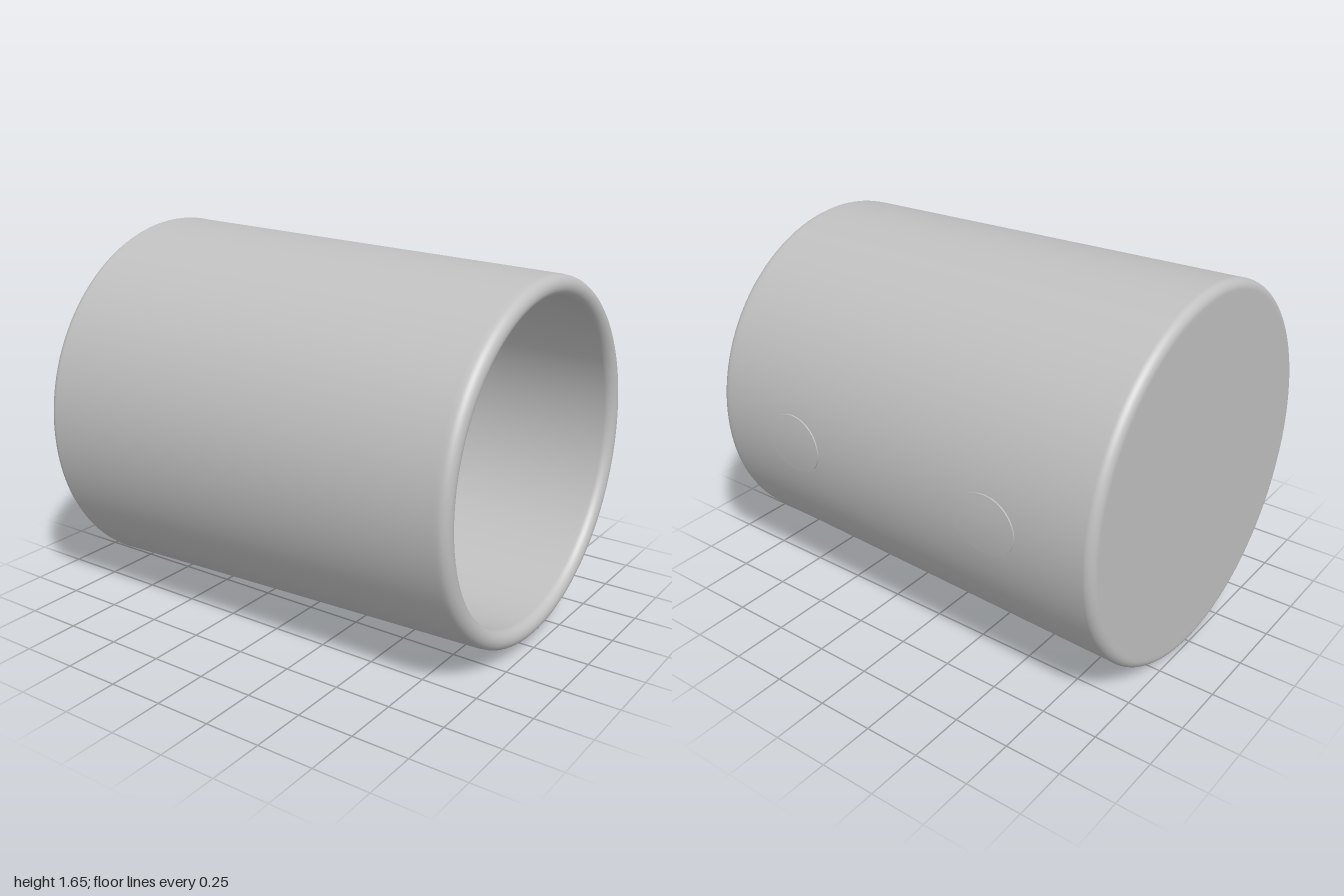
import * as THREE from 'three';
import { toCreasedNormals } from 'three/addons/utils/BufferGeometryUtils.js';

const AXIS_Y = 0.825;
// Outer radius of the tapered wall at a given z (narrower at the open front)
const outerRadius = (z) => 0.8 - 0.025 * z;
const WALL = 0.085;

export function createModel() {
  const group = new THREE.Group();
  group.name = 'cup';
  const grey = new THREE.MeshStandardMaterial({ color: 0xc0c0c0 });
  grey.name = 'grey';

  // Cup: closed at the back, rounded lip at the front
  const profile = [];
  const add = (r, z) => profile.push(new THREE.Vector2(r, z));
  const arc = (cr, cz, rad, from, to, steps) => {
    for (let i = 0; i <= steps; i++) {
      const a = from + ((to - from) * i) / steps;
      add(cr + rad * Math.cos(a), cz + rad * Math.sin(a));
    }
  };
  const fillet = 0.04, lip = WALL / 2;
  add(0, -1);
  add(0.77, -1);
  arc(outerRadius(-1) - fillet, -1 + fillet, fillet, -Math.PI / 2, 0, 8);
  add(outerRadius(-0.94), -0.94);
  add(outerRadius(0.94), 0.94);
  arc(outerRadius(1) - lip, 1 - lip, lip, 0, Math.PI, 16);
  add(outerRadius(0.94) - WALL, 0.94);
  add(outerRadius(-0.9) - WALL, -0.9);
  add(outerRadius(-0.915) - WALL, -0.914);
  add(outerRadius(-0.915) - WALL - 0.001, -0.915);
  add(0.7, -0.915);
  add(0, -0.915);
  const body = new THREE.Mesh(new THREE.LatheGeometry(profile, 128), grey);
  body.name = 'cupBody';
  body.rotation.x = Math.PI / 2;
  body.position.y = AXIS_Y;
  group.add(body);

  // Slightly raised oval pads wrapped onto the left wall
  const padProfile = [[1, -1], [1, 1], [0.75, 1], [0.5, 1], [0.25, 1], [0, 1]]
    .map(([r, h]) => new THREE.Vector2(r, h));
  function makePad(name, centreZ) {
    const geometry = new THREE.LatheGeometry(padProfile, 48);
    const p = geometry.attributes.position;
    for (let i = 0; i < p.count; i++) {
      const z = centreZ - 0.15 * p.getX(i);
      const y = -0.131 * p.getZ(i);
      const r = outerRadius(z) + 0.006 * p.getY(i);
      p.setXYZ(i, Math.sqrt(r * r - y * y), y + AXIS_Y, z);
    }
    // Keep the triangles facing outwards
    const index = geometry.index;
    const a = new THREE.Vector3(), b = new THREE.Vector3(), c = new THREE.Vector3();
    let facing = 0;
    for (let i = 0; i < index.count; i += 3) {
      a.fromBufferAttribute(p, index.getX(i));
      b.fromBufferAttribute(p, index.getX(i + 1)).sub(a);
      c.fromBufferAttribute(p, index.getX(i + 2)).sub(a);
      facing += b.cross(c).x;
    }
    if (facing < 0) index.array.reverse();
    const pad = new THREE.Mesh(toCreasedNormals(geometry, 0.6), grey);
    pad.name = name;
    group.add(pad);
  }
  makePad('frontPad', 0.545);
  makePad('rearPad', -0.5);

  return group;
}
